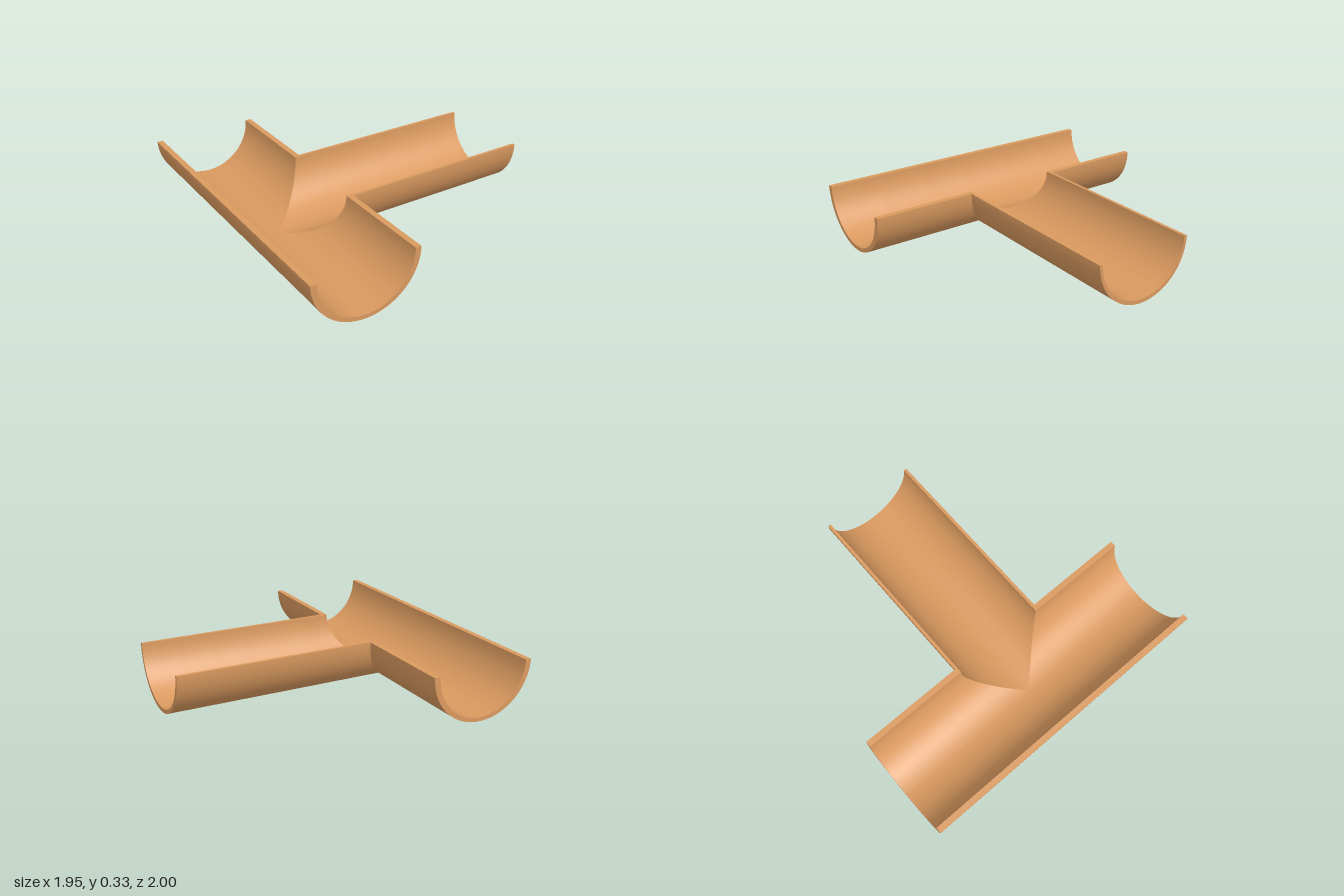
import * as THREE from 'three';
import { mergeGeometries } from 'three/addons/utils/BufferGeometryUtils.js';

const CX = -0.632, CZ = 0.01, TOP = 0.33, END = 0.975;
// Half widths and depth of the half-round sections: [outer, inner]
const MAIN = [0.343, 0.306], BRANCH = [0.325, 0.305], DEPTH = [0.33, 0.304];
const lerp = THREE.MathUtils.lerp;

// Smooth grid patch from f(u, v), wound so that its middle faces `facing`
function patch(f, nu, nv, facing) {
  const pos = [], index = [];
  for (let i = 0; i <= nu; i++)
    for (let j = 0; j <= nv; j++) pos.push(...f(i / nu, j / nv));
  const at = (u, v) => new THREE.Vector3(...f(u, v));
  const mid = at(0.5, 0.5);
  const normal = at(0.55, 0.5).sub(mid).cross(at(0.5, 0.55).sub(mid));
  const keep = normal.dot(new THREE.Vector3(...facing)) > 0;
  for (let i = 0; i < nu; i++)
    for (let j = 0; j < nv; j++) {
      const a = i * (nv + 1) + j, b = a + nv + 1;
      if (keep) index.push(a, b, b + 1, a, b + 1, a + 1);
      else index.push(a, b + 1, b, a, a + 1, b + 1);
    }
  const g = new THREE.BufferGeometry();
  g.setAttribute('position', new THREE.Float32BufferAttribute(pos, 3));
  g.setIndex(index);
  g.computeVertexNormals();
  return g;
}

// Quarter-round wall: point(angle, k, v), k = 0 outer to 1 inner, v along the run
function wall(name, point, caps, material) {
  const q = Math.PI / 2;
  const parts = [
    patch((u, v) => point(u * q, 0, v), 24, 6, [0, -1, 0]),
    patch((u, v) => point(u * q, 1, v), 24, 6, [0, 1, 0]),
    patch((u, v) => point(q, u, v), 1, 1, [0, 1, 0]),
    ...caps.map(([v, dir]) => patch((u, k) => point(u * q, k, v), 24, 1, dir)),
  ];
  const mesh = new THREE.Mesh(mergeGeometries(parts), material);
  mesh.name = name;
  return mesh;
}

export function createModel() {
  const group = new THREE.Group();
  group.name = 'teeGutter';
  const material = new THREE.MeshStandardMaterial({ color: 0xd9995f });

  const across = (half, t, k) => lerp(half[0], half[1], k) * Math.sin(t);
  const height = (t, k) => TOP - lerp(DEPTH[0], DEPTH[1], k) * Math.cos(t);

  // Unbroken wall of the main channel
  group.add(wall('mainOuterWall',
    (t, k, v) => [CX - across(MAIN, t, k), height(t, k), lerp(-1, 1, v)],
    [[0, [0, 0, -1]], [1, [0, 0, 1]]], material));

  for (const s of [-1, 1]) {
    const side = s < 0 ? 'Back' : 'Front';
    // Main channel wall, mitred where it meets the branch
    group.add(wall('mainInnerWall' + side,
      (t, k, v) => [CX + across(MAIN, t, k), height(t, k),
        lerp(CZ + s * across(BRANCH, t, k), s, v)],
      [[1, [0, 0, s]]], material));
    // Branch channel wall, sharing the same mitre line
    group.add(wall('branchWall' + side,
      (t, k, v) => [lerp(CX + across(MAIN, t, k), END, v), height(t, k),
        CZ + s * across(BRANCH, t, k)],
      [[1, [1, 0, 0]]], material));
  }
  return group;
}
